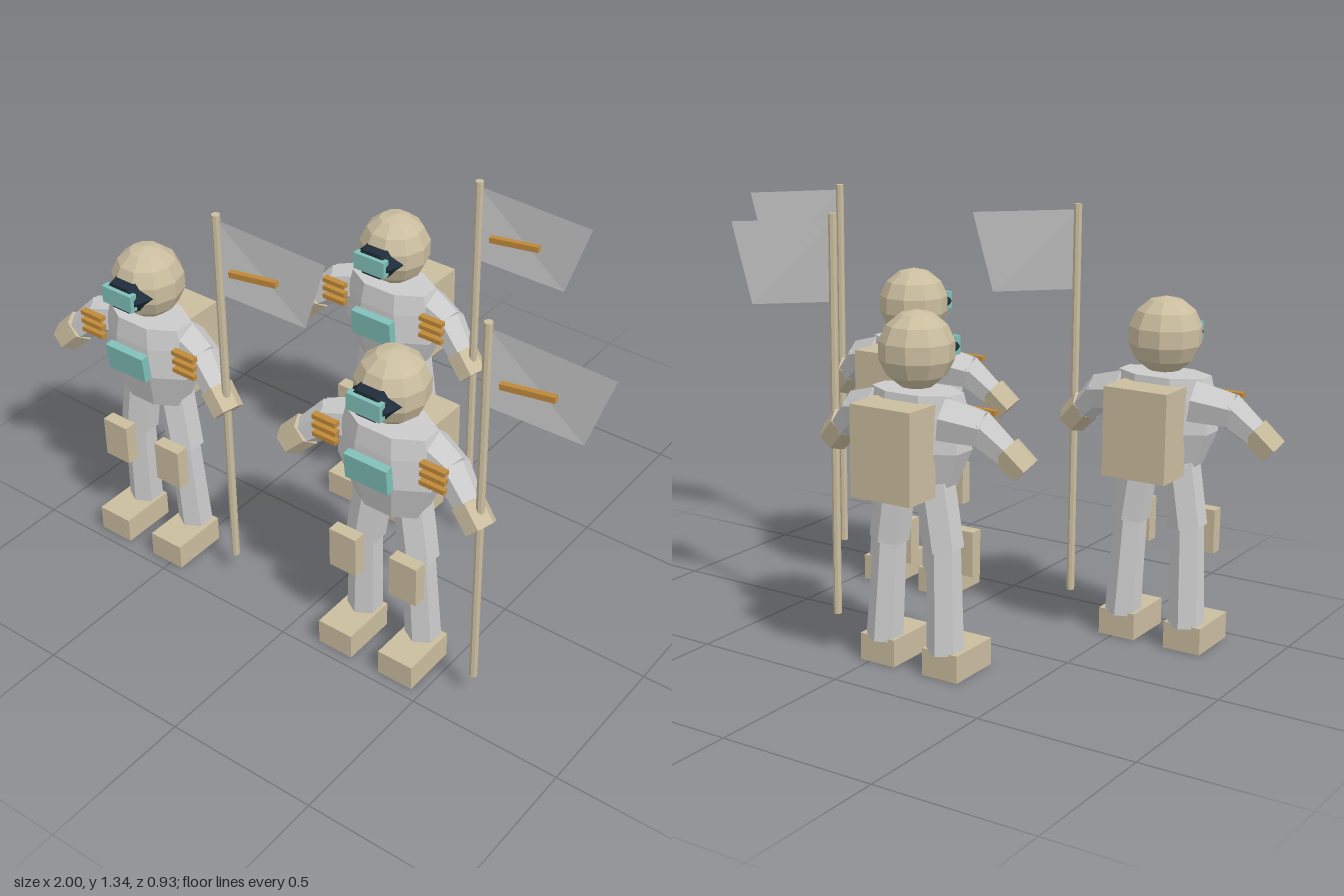
import * as THREE from 'three';

const mat = (color, side = THREE.FrontSide) =>
  new THREE.MeshStandardMaterial({ color, flatShading: true, side });
const grey = mat(0xcccccc);
const cloth = mat(0xcccccc, THREE.DoubleSide);
const tan = mat(0xcabd9f);
const teal = mat(0x80c0b8);
const navy = mat(0x1f2d3a);
const gold = mat(0xc08a3a);

function add(parent, name, geometry, material, x = 0, y = 0, z = 0) {
  const mesh = new THREE.Mesh(geometry, material);
  mesh.name = name;
  mesh.position.set(x, y, z);
  parent.add(mesh);
  return mesh;
}

const box = (parent, name, material, size, pos) =>
  add(parent, name, new THREE.BoxGeometry(...size), material, ...pos);

// Faceted limb running from point a to point b
function limb(parent, name, material, a, b, ra, rb, sides = 6) {
  const from = new THREE.Vector3(...a), to = new THREE.Vector3(...b);
  const dir = to.clone().sub(from);
  const mesh = add(parent, name, new THREE.CylinderGeometry(rb, ra, dir.length(), sides), material);
  mesh.position.copy(from).add(to).multiplyScalar(0.5);
  mesh.quaternion.setFromUnitVectors(new THREE.Vector3(0, 1, 0), dir.normalize());
  return mesh;
}

function buildTorso(g) {
  const profile = [[0, 0.562], [0.122, 0.562], [0.178, 0.69], [0.168, 0.79], [0.15, 0.857], [0, 0.857]]
    .map(([r, y]) => new THREE.Vector2(r, y));
  const torso = add(g, 'torso', new THREE.LatheGeometry(profile, 8, Math.PI / 8), grey);
  torso.scale.z = 0.58;
  box(g, 'backpack', tan, [0.208, 0.275, 0.13], [0, 0.698, -0.125]);
  box(g, 'chestPanel', teal, [0.15, 0.088, 0.028], [0, 0.733, 0.111]).rotation.x = 0.09;
}

function buildHead(g) {
  const head = add(g, 'helmet', new THREE.SphereGeometry(0.114, 10, 7), tan, 0, 0.973, -0.004);
  head.scale.y = 1.03;
  // Visor: tapered hexagon facing forward, corners to the sides
  const rim = new THREE.CylinderGeometry(0.066, 0.085, 0.06, 6);
  rim.rotateY(Math.PI / 2).rotateX(Math.PI / 2);
  rim.scale(1, 0.74, 1);
  add(g, 'visorRim', rim, navy, 0, 0.968, 0.092);
  box(g, 'visorGlass', teal, [0.116, 0.056, 0.026], [0, 0.97, 0.123]);
}

function buildSide(g, s) {
  const side = s > 0 ? 'left' : 'right';
  // Arm
  limb(g, side + 'UpperArm', grey, [s * 0.11, 0.785, -0.025], [s * 0.225, 0.765, 0.005], 0.072, 0.058);
  limb(g, side + 'Forearm', grey, [s * 0.205, 0.775, 0.0], [s * 0.295, 0.695, 0.03], 0.058, 0.044);
  limb(g, side + 'Hand', tan, [s * 0.284, 0.71, 0.03], [s * 0.342, 0.652, 0.045], 0.052, 0.05);
  for (let i = 0; i < 3; i++) {
    box(g, side + 'ArmStripe', gold, [0.085, 0.015, 0.022], [s * 0.19, 0.803 - i * 0.031, 0.062]);
  }
  // Leg
  limb(g, side + 'Thigh', grey, [s * 0.098, 0.39, -0.008], [s * 0.068, 0.59, -0.012], 0.06, 0.06);
  limb(g, side + 'Shin', grey, [s * 0.11, 0.075, -0.018], [s * 0.096, 0.41, -0.006], 0.056, 0.05);
  box(g, side + 'KneePad', tan, [0.097, 0.138, 0.042], [s * 0.11, 0.365, 0.073]);
  box(g, side + 'Boot', tan, [0.123, 0.085, 0.187], [s * 0.113, 0.0425, 0.04]);
}

function buildFlag(g) {
  const poleX = 0.336, poleZ = 0.044;
  add(g, 'flagPole', new THREE.CylinderGeometry(0.013, 0.013, 1.25, 8), tan, poleX, 0.71, poleZ);
  // Cloth: slanted quad swept slightly backward
  const flag = new THREE.BufferGeometry();
  flag.setAttribute('position', new THREE.Float32BufferAttribute([
    0.0, 1.318, 0.0, 0.0, 1.07, 0.0, 0.281, 1.04, -0.042, 0.368, 1.286, -0.028,
  ], 3));
  flag.setIndex([0, 1, 2, 0, 2, 3]);
  flag.computeVertexNormals();
  add(g, 'flagCloth', flag, cloth, poleX, 0, poleZ);
  const bar = box(g, 'flagBar', gold, [0.16, 0.018, 0.018], [poleX + 0.13, 1.17, poleZ + 0.001]);
  bar.rotation.set(0, 0.1, 0.09);
}

function buildFigure() {
  const g = new THREE.Group();
  buildTorso(g);
  buildHead(g);
  for (const s of [-1, 1]) buildSide(g, s);
  buildFlag(g);
  return g;
}

export function createModel() {
  const model = new THREE.Group();
  model.name = 'flagBearers';
  [[-0.629, 0.33], [-0.141, -0.273], [0.291, 0.33]].forEach(([x, z], i) => {
    const figure = buildFigure();
    figure.name = 'flagBearer' + (i + 1);
    figure.position.set(x, 0, z);
    model.add(figure);
  });
  return model;
}
